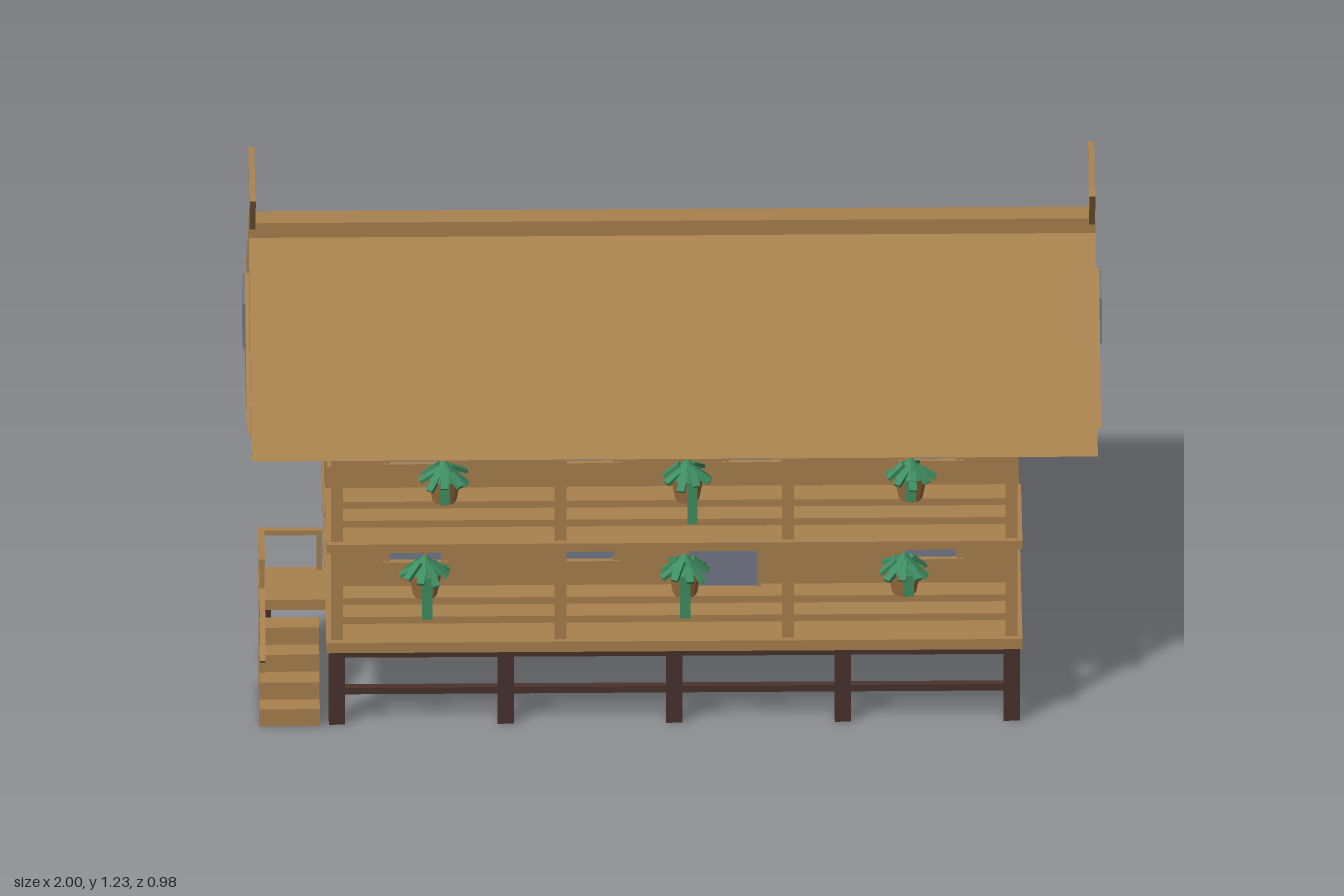
import * as THREE from 'three';

const mat = (name, color) => Object.assign(new THREE.MeshStandardMaterial({ color, flatShading: true }), { name });

export function createModel() {
  const wood = mat('wood', 0xa9824f);
  const dark = mat('darkTimber', 0x4a332e);
  const glass = mat('windowGlass', 0x757b8a);
  const leaf = mat('foliage', 0x3f8f63);
  const potMat = mat('planter', 0x9c7040);

  const model = new THREE.Group();
  model.name = 'stiltHouse';

  const add = (parent, name, geo, material, x = 0, y = 0, z = 0) => {
    const m = new THREE.Mesh(geo, material);
    m.name = name;
    m.position.set(x, y, z);
    parent.add(m);
    return m;
  };
  // box given by its minimum and maximum on each axis
  const span = (name, material, x0, x1, y0, y1, z0, z1, parent = model) =>
    add(parent, name, new THREE.BoxGeometry(x1 - x0, y1 - y0, z1 - z0), material,
      (x0 + x1) / 2, (y0 + y1) / 2, (z0 + z1) / 2);
  // profile of [z, y] points extruded along x
  const prism = (name, material, points, x0, x1) => {
    const shape = new THREE.Shape(points.map(([z, y]) => new THREE.Vector2(-z, y)));
    const geo = new THREE.ExtrudeGeometry(shape, { depth: x1 - x0, bevelEnabled: false });
    geo.rotateY(Math.PI / 2);
    return add(model, name, geo, material, x0);
  };
  // square bar between two [y, z] points at a given x
  const bar = (name, x, [y0, z0], [y1, z1], width, depth) => {
    const m = add(model, name, new THREE.BoxGeometry(width, depth, Math.hypot(y1 - y0, z1 - z0)), wood,
      x, (y0 + y1) / 2, (z0 + z1) / 2);
    m.rotation.x = -Math.atan2(y1 - y0, z1 - z0);
  };

  // stilts and their tie beams
  for (const z of [0.418, -0.398]) {
    for (let i = -2; i <= 2; i++) {
      const x = i * 0.3925;
      span('stilt', dark, x - 0.019, x + 0.019, 0, 0.2, z - 0.019, z + 0.019);
    }
    span('lowerTieBeam', dark, -0.785, 0.785, 0.075, 0.092, z - 0.009, z + 0.009);
    span('upperTieBeam', dark, -0.785, 0.785, 0.172, 0.194, z - 0.009, z + 0.009);
  }

  // floors and body
  span('deck', wood, -0.81, 0.81, 0.2, 0.227, -0.435, 0.456);
  span('walls', wood, -0.79, 0.79, 0.227, 0.735, -0.415, 0.18);
  span('balconyFloor', wood, -0.81, 0.81, 0.465, 0.487, 0.18, 0.456);

  // veranda posts and rails
  for (const x of [-0.785, -0.265, 0.265, 0.785])
    span('verandaPost', wood, x - 0.014, x + 0.014, 0.227, 0.73, 0.414, 0.442);
  for (const y of [0.275, 0.325, 0.53, 0.58])
    span('verandaRail', wood, -0.785, 0.785, y - 0.009, y + 0.009, 0.421, 0.435);

  // roof, ridge cap and gable panels
  prism('roof', wood, [[0.49, 0.728], [0.028, 1.07], [-0.028, 1.07], [-0.49, 0.728]], -0.985, 0.985);
  span('ridgeCap', wood, -0.985, 0.985, 1.06, 1.108, -0.029, 0.029);
  prism('gablePanel', wood, [[0.37, 0.737], [0, 0.96], [-0.37, 0.737]], -0.994, 0.994);
  for (const s of [-1, 1]) {
    span('gableWindow', glass, s * 0.996 - 0.004, s * 0.996 + 0.004, 0.8, 0.917, -0.072, 0.072);
    // crossed finials at the ridge ends
    for (const t of [-1, 1])
      bar('ridgeHorn', s * 0.977, [1.085, t * 0.01], [1.227, t * 0.122], 0.014, 0.021);
  }

  // shuttered window, built facing +z
  const windowAt = (x, y, z, turn) => {
    const g = new THREE.Group();
    g.name = 'window';
    span('pane', glass, -0.063, 0.063, -0.07, 0.07, -0.002, 0.006, g);
    for (const s of [-1, 1]) {
      add(g, 'shutter', new THREE.BoxGeometry(0.05, 0.142, 0.014), wood, s * 0.088, 0, 0.006);
      add(g, 'jamb', new THREE.BoxGeometry(0.008, 0.142, 0.018), wood, s * 0.064, 0, 0.008);
    }
    span('lintel', wood, -0.075, 0.075, 0.07, 0.082, 0, 0.018, g);
    span('sill', wood, -0.075, 0.075, -0.082, -0.07, 0, 0.02, g);
    g.position.set(x, y, z);
    g.rotation.y = turn;
    model.add(g);
  };
  for (const y of [0.37, 0.63]) {
    for (const x of [-0.6, -0.2, 0.19, 0.6]) {
      windowAt(x, y, -0.415, Math.PI);
      if (x !== 0.19 || y > 0.5) windowAt(x, y, 0.18, 0);
    }
    windowAt(0.79, y, -0.12, Math.PI / 2);
    windowAt(-0.79, y, -0.12, -Math.PI / 2);
  }

  // front door
  span('door', glass, 0.037, 0.195, 0.227, 0.45, 0.18, 0.188);
  for (const x of [0.032, 0.2]) span('doorJamb', wood, x - 0.005, x + 0.005, 0.227, 0.46, 0.18, 0.194);
  span('doorLintel', wood, 0.027, 0.205, 0.45, 0.462, 0.18, 0.194);

  // stairs and landing
  prism('stairs', wood, [[0.443, 0], [0.443, 0.045], [0.395, 0.045], [0.395, 0.09], [0.343, 0.09],
    [0.343, 0.135], [0.294, 0.135], [0.294, 0.18], [0.245, 0.18], [0.245, 0]], -0.965, -0.825);
  span('landing', wood, -0.965, -0.81, 0.2, 0.227, 0.085, 0.245);
  span('landingStilt', dark, -0.962, -0.935, 0, 0.2, 0.087, 0.114);
  for (const [x, z] of [[-0.957, 0.236], [-0.957, 0.095], [-0.822, 0.095]])
    span('landingPost', wood, x - 0.006, x + 0.006, 0.227, 0.325, z - 0.006, z + 0.006);
  span('landingSideRail', wood, -0.965, -0.95, 0.32, 0.333, 0.088, 0.243);
  span('landingBackRail', wood, -0.965, -0.815, 0.32, 0.333, 0.088, 0.102);
  bar('stairHandrail', -0.957, [0.15, 0.405], [0.268, 0.268], 0.013, 0.013);
  for (const [z, y0, y1] of [[0.345, 0.09, 0.2], [0.271, 0.18, 0.265]])
    span('handrailPost', wood, -0.963, -0.951, y0, y1, z - 0.006, z + 0.006);

  // hanging plants: position of the pot base and sideways offset of the trailing vine
  const plants = [[-0.535, 0.59, 0.0], [0.03, 0.59, 0.012], [0.55, 0.59, 0.0],
    [-0.58, 0.34, 0.005], [0.025, 0.34, 0.0], [0.535, 0.34, 0.01]];
  plants.forEach(([x, y, dx], n) => {
    const g = new THREE.Group();
    g.name = 'hangingPlant';
    g.position.set(x, y, 0.43);
    model.add(g);
    add(g, 'pot', new THREE.CylinderGeometry(0.04, 0.028, 0.065, 8), potMat, 0, 0.033, 0);
    add(g, 'crown', new THREE.ConeGeometry(0.042, 0.045, 8), leaf, 0, 0.085, 0);
    add(g, 'hook', new THREE.BoxGeometry(0.008, 0.025, 0.008), wood, 0, 0.118, 0);
    for (let i = 0; i < 9; i++) {
      const spoke = new THREE.Group();
      spoke.name = 'leafSpray';
      spoke.rotation.y = (i * 2 * Math.PI) / 9 + n * 0.4;
      const blade = add(spoke, 'leaf', new THREE.BoxGeometry(0.018, 0.009, 0.05), leaf, 0, 0.075 - (i % 3) * 0.006, 0.036);
      blade.rotation.x = 0.75 - (i % 2) * 0.25;
      g.add(spoke);
    }
    const drop = n === 0 || n === 2 || n === 5 ? 0.01 : -0.045;
    span('vine', leaf, dx - 0.012, dx + 0.012, drop, 0.065, 0.028, 0.042, g);
  });

  return model;
}
